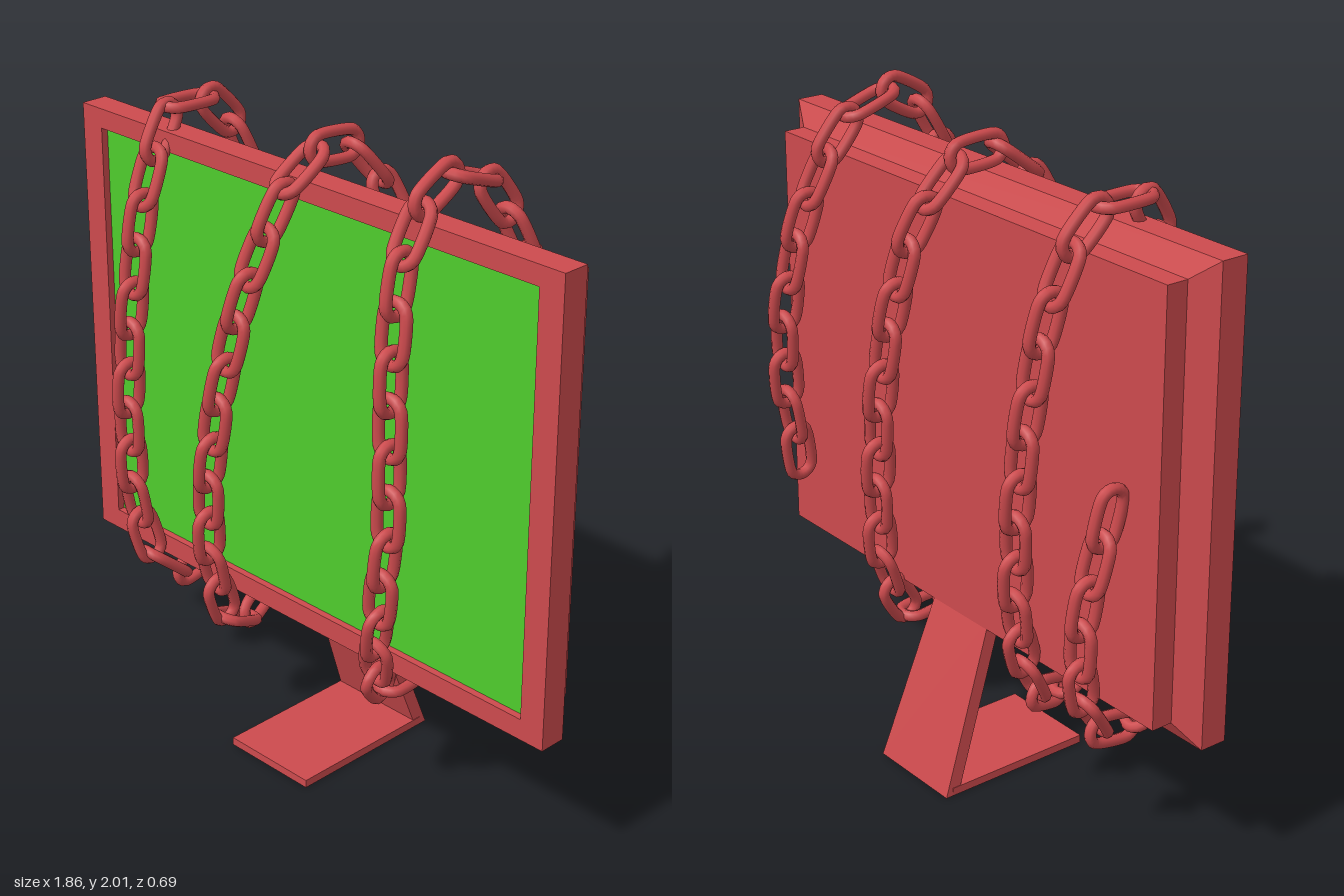
import * as THREE from 'three';

const red = new THREE.MeshStandardMaterial({ color: 0xcc4a4d });
red.name = 'red';
const green = new THREE.MeshStandardMaterial({ color: 0x4ecc2d });
green.name = 'green';

function part(name, geometry, material, x = 0, y = 0, z = 0) {
  const mesh = new THREE.Mesh(geometry, material);
  mesh.name = name;
  mesh.position.set(x, y, z);
  return mesh;
}

// Unit box whose corners are moved by a rule
function shapedBox(rule) {
  const g = new THREE.BoxGeometry(1, 1, 1).toNonIndexed();
  const p = g.attributes.position;
  for (let i = 0; i < p.count; i++) {
    p.setXYZ(i, ...rule(p.getX(i), p.getY(i), p.getZ(i)));
  }
  g.computeVertexNormals();
  return g;
}

function rectangle(Type, x, y0, y1) {
  const s = new Type();
  s.moveTo(-x, y0);
  s.lineTo(x, y0);
  s.lineTo(x, y1);
  s.lineTo(-x, y1);
  s.closePath();
  return s;
}

function createMonitor() {
  const group = new THREE.Group();
  group.name = 'monitor';

  // Bezel with a recessed screen
  const outline = rectangle(THREE.Shape, 0.932, 0.43, 1.83);
  outline.holes.push(rectangle(THREE.Path, 0.85, 0.495, 1.77));
  const bezel = new THREE.ExtrudeGeometry(outline, { depth: 0.085, bevelEnabled: false });
  group.add(part('bezel', bezel, red, 0, 0, 0.012));
  group.add(part('screen', new THREE.BoxGeometry(1.7, 1.275, 0.008), green, 0, 1.1325, 0.071));

  // Sloped shell narrowing to the back housing
  const shell = shapedBox((x, y, z) => {
    const back = z < 0;
    return [x * (back ? 1.7 : 1.864), 1.13 + y * (back ? 1.275 : 1.4), back ? -0.027 : 0.012];
  });
  group.add(part('slopedShell', shell, red));
  group.add(part('backHousing', new THREE.BoxGeometry(1.7, 1.275, 0.068), red, 0, 1.13, -0.061));

  // Tapered, leaning arm on a flat foot
  const arm = shapedBox((x, y, z) => {
    const top = y > 0;
    return [x * (top ? 0.25 : 0.32), top ? 0.52 : 0, (top ? -0.062 : -0.248) + z * 0.045];
  });
  group.add(part('standArm', arm, red));
  group.add(part('standFoot', new THREE.BoxGeometry(0.32, 0.025, 0.49), red, 0, 0.0125, 0));
  return group;
}

// Stadium-shaped chain link, long axis along y
function linkGeometry() {
  const points = [];
  const steps = 6;
  for (const end of [1, -1]) {
    for (let i = 0; i <= steps; i++) {
      const a = (i / steps) * Math.PI;
      points.push(new THREE.Vector3(
        end * 0.04 * Math.cos(a), end * (0.048 + 0.04 * Math.sin(a)), 0));
    }
  }
  const loop = new THREE.CatmullRomCurve3(points, true);
  return new THREE.TubeGeometry(loop, 32, 0.0175, 8, true);
}

function createChain() {
  const group = new THREE.Group();
  group.name = 'chain';

  // Path winding three times around the monitor
  const path = new THREE.CatmullRomCurve3([
    // up from the loose end at the back
    [-0.71, 1.09, -0.15], [-0.68, 0.8, -0.2], [-0.64, 0.52, -0.16], [-0.605, 0.36, -0.02],
    // first front strand
    [-0.62, 0.42, 0.12], [-0.635, 0.62, 0.19], [-0.62, 0.9, 0.225], [-0.59, 1.2, 0.235],
    [-0.56, 1.47, 0.225], [-0.555, 1.72, 0.17], [-0.57, 1.89, 0.05],
    // first back strand
    [-0.565, 1.87, -0.09], [-0.55, 1.7, -0.2], [-0.5, 1.35, -0.25], [-0.44, 0.95, -0.24],
    [-0.37, 0.55, -0.16], [-0.32, 0.35, -0.03],
    // second front strand
    [-0.275, 0.36, 0.13], [-0.24, 0.6, 0.24], [-0.205, 0.85, 0.28], [-0.155, 1.12, 0.29],
    [-0.09, 1.43, 0.265], [-0.045, 1.65, 0.21], [-0.01, 1.86, 0.09],
    // second back strand
    [0, 1.89, -0.06], [0.04, 1.72, -0.2], [0.13, 1.35, -0.25], [0.21, 0.95, -0.23],
    [0.28, 0.55, -0.16], [0.315, 0.36, -0.03],
    // third front strand
    [0.34, 0.39, 0.12], [0.4, 0.55, 0.2], [0.45, 0.74, 0.24], [0.488, 1.02, 0.25],
    [0.49, 1.29, 0.25], [0.488, 1.56, 0.24], [0.485, 1.8, 0.19], [0.485, 1.935, 0.07],
    // third back strand with its loose end
    [0.485, 1.91, -0.09], [0.51, 1.72, -0.22], [0.57, 1.4, -0.285], [0.63, 1.1, -0.265],
    [0.66, 0.82, -0.21],
  ].map((p) => new THREE.Vector3(...p)));
  path.arcLengthDivisions = 2000;

  // Links alternate by a quarter turn
  const geometry = linkGeometry();
  const count = 2 * Math.round(path.getLength() / 0.272);
  const quarter = new THREE.Matrix4().makeRotationY(Math.PI / 2);
  for (let i = 0; i <= count; i++) {
    const along = path.getTangentAt(i / count);
    const side = new THREE.Vector3(1, 0, 0).addScaledVector(along, -along.x).normalize();
    const turn = new THREE.Matrix4().makeBasis(side, along, side.clone().cross(along));
    if (i % 2 === 0) turn.multiply(quarter);
    const link = part('chainLink', geometry, red);
    link.position.copy(path.getPointAt(i / count));
    link.quaternion.setFromRotationMatrix(turn);
    group.add(link);
  }
  return group;
}

export function createModel() {
  const model = new THREE.Group();
  model.name = 'chainedMonitor';
  model.add(createMonitor(), createChain());
  return model;
}
